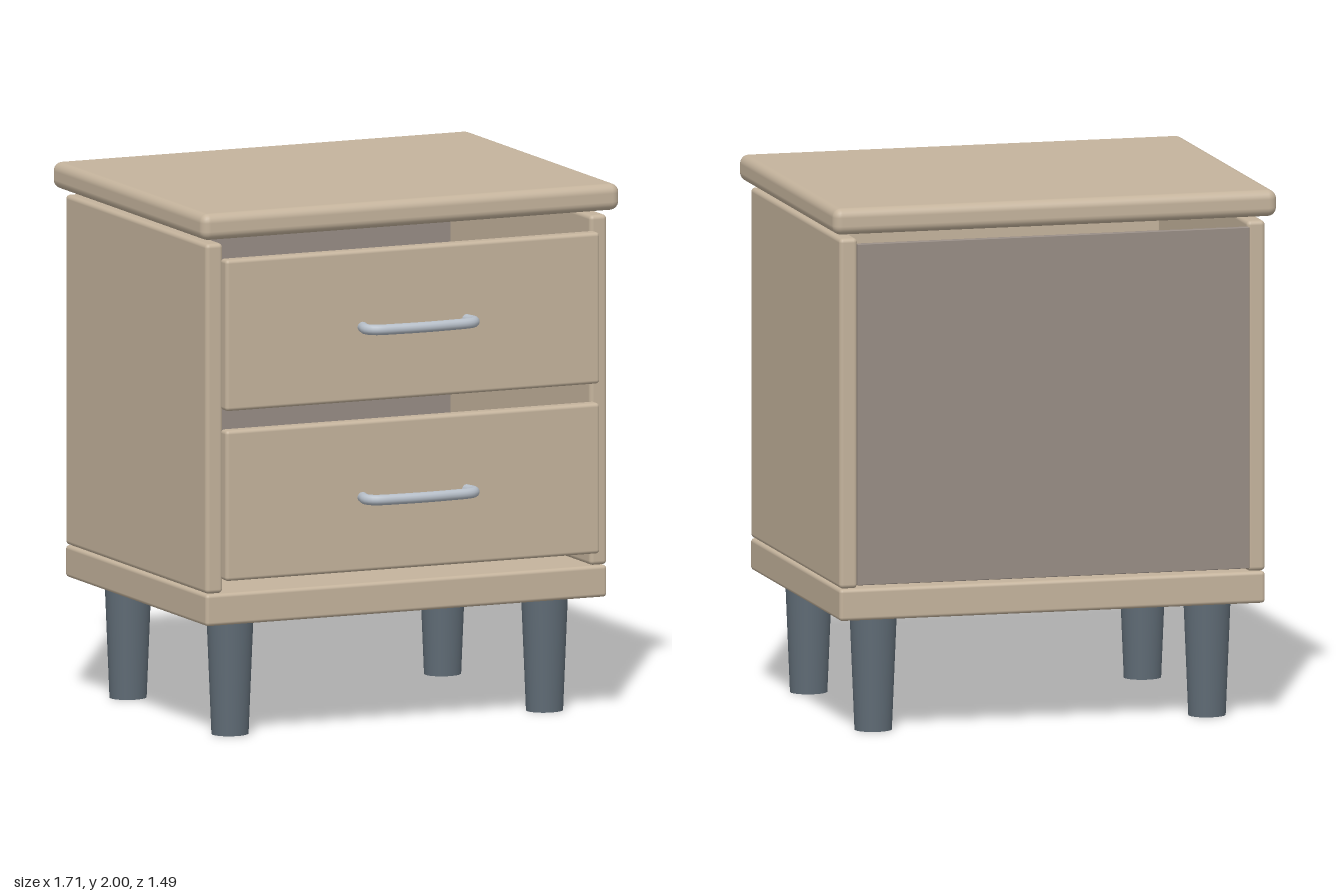
import * as THREE from 'three';
import { RoundedBoxGeometry } from 'three/addons/geometries/RoundedBoxGeometry.js';

export function createModel() {
  const model = new THREE.Group();
  model.name = 'nightstand';

  const material = (name, color) => {
    const m = new THREE.MeshStandardMaterial({ color });
    m.name = name;
    return m;
  };
  const wood = material('light wood', 0xc4b39c);
  const backing = material('grey backing', 0x978c84);
  const legPaint = material('slate legs', 0x5f6b75);
  const metal = material('brushed metal', 0xb6bec8);

  const add = (name, geometry, mat, parent = model) => {
    const mesh = new THREE.Mesh(geometry, mat);
    mesh.name = name;
    parent.add(mesh);
    return mesh;
  };

  // Rounded board given by its extents on each axis
  const board = (name, [x0, x1], [y0, y1], [z0, z1], radius, mat = wood, parent = model) => {
    const geometry = new RoundedBoxGeometry(x1 - x0, y1 - y0, z1 - z0, 3, radius);
    const mesh = add(name, geometry, mat, parent);
    mesh.position.set((x0 + x1) / 2, (y0 + y1) / 2, (z0 + z1) / 2);
    return mesh;
  };

  // Carcass
  board('tableTop', [-0.855, 0.855], [1.9, 2], [-0.75, 0.607], 0.034);
  board('base', [-0.82, 0.82], [0.44, 0.56], [-0.7, 0.56], 0.014);
  board('leftSide', [0.75, 0.82], [0.562, 1.88], [-0.7, 0.56], 0.016);
  board('rightSide', [-0.82, -0.75], [0.562, 1.88], [-0.7, 0.56], 0.016);
  board('backPanel', [-0.755, 0.755], [0.575, 1.86], [-0.712, -0.69], 0.003, backing);

  // Bowed pull with two returns towards the drawer
  const handlePath = new THREE.CatmullRomCurve3([
    [-0.212, 0.628], [-0.22, 0.68], [-0.197, 0.708], [-0.1, 0.721], [0, 0.725],
    [0.1, 0.721], [0.197, 0.708], [0.22, 0.68], [0.212, 0.628],
  ].map(([x, z]) => new THREE.Vector3(x, 0, z)), false, 'centripetal');
  const handleGeometry = new THREE.TubeGeometry(handlePath, 48, 0.02, 14);
  const capGeometry = new THREE.CircleGeometry(0.02, 14);

  // Drawer fronts with handles
  for (const [name, bottom, top, handleY] of [
    ['upperDrawer', 1.255, 1.825, 1.538],
    ['lowerDrawer', 0.615, 1.182, 0.897],
  ]) {
    const drawer = new THREE.Group();
    drawer.name = name;
    model.add(drawer);
    board('drawerFront', [-0.765, 0.765], [bottom, top], [0.56, 0.617], 0.014, wood, drawer);
    add('handle', handleGeometry, metal, drawer).position.y = handleY;
    for (const side of [-1, 1]) {
      const cap = add('handleEnd', capGeometry, metal, drawer);
      cap.position.set(side * 0.212, handleY, 0.628);
      cap.rotation.y = Math.PI;
    }
  }

  // Tapered legs, slightly narrower from front to back
  const legGeometry = new THREE.CylinderGeometry(0.088, 0.07, 0.43, 32);
  for (const [end, z] of [['front', 0.385], ['back', -0.523]]) {
    for (const [side, x] of [['Left', 0.643], ['Right', -0.643]]) {
      const leg = add(end + side + 'Leg', legGeometry, legPaint);
      leg.position.set(x, 0.215, z);
      leg.scale.z = 0.92;
    }
  }

  return model;
}
